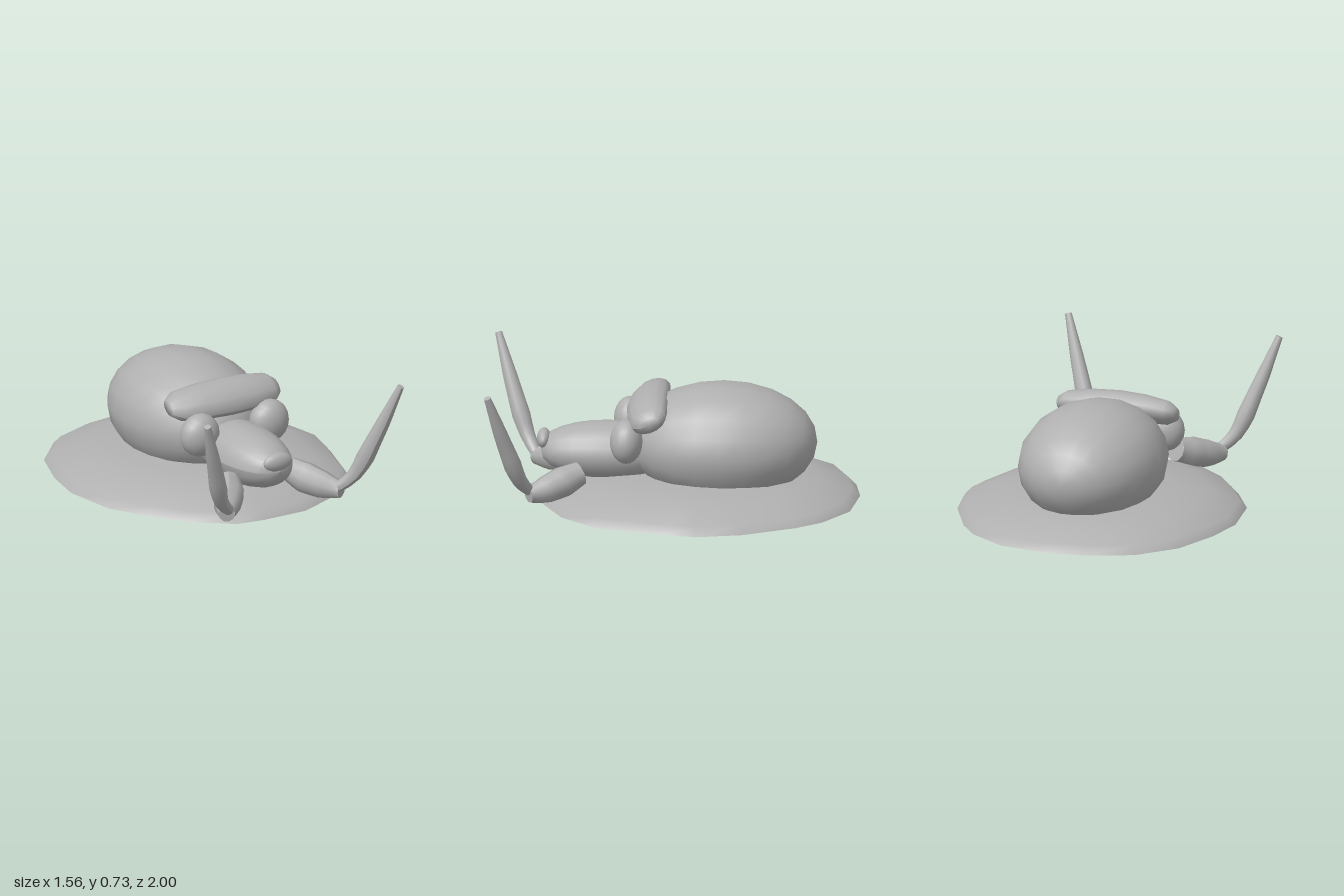
import * as THREE from 'three';

const shell = new THREE.MeshStandardMaterial({ color: 0xb0b0b0 });
shell.name = 'plain grey';

export function createModel() {
  const model = new THREE.Group();
  const add = (name, geometry) => {
    const mesh = new THREE.Mesh(geometry, shell);
    mesh.name = name;
    model.add(mesh);
    return mesh;
  };

  // Ellipsoid; power below 1 makes it boxier along z
  const ellipsoid = (name, [x, y, z], [rx, ry, rz], power = 1) => {
    const g = new THREE.SphereGeometry(1, 18, 12).rotateX(Math.PI / 2);
    const p = g.attributes.position;
    for (let i = 0; i < p.count; i++) {
      const r = Math.hypot(p.getX(i), p.getY(i));
      const k = r > 1e-5 ? Math.pow(r, power) / r : 0;
      p.setXYZ(i, p.getX(i) * k * rx, p.getY(i) * k * ry, p.getZ(i) * rz);
    }
    const n = g.attributes.normal;
    if (power === 1) {
      for (let i = 0; i < n.count; i++) {
        const v = new THREE.Vector3(p.getX(i) / rx ** 2, p.getY(i) / ry ** 2, p.getZ(i) / rz ** 2).normalize();
        n.setXYZ(i, v.x, v.y, v.z);
      }
    } else g.computeVertexNormals();
    return add(name, g.translate(x, y, z));
  };

  // Tapering tube along points [x, y, z, radius], closed at both ends
  const taper = (name, points, steps = 9, sides = 10) => {
    const curve = new THREE.CatmullRomCurve3(points.map(q => new THREE.Vector3(q[0], q[1], q[2])));
    const g = new THREE.TubeGeometry(curve, steps, 1, sides);
    const p = g.attributes.position;
    const v = new THREE.Vector3();
    for (let i = 0; i <= steps; i++) {
      const t = i / steps;
      const c = curve.getPointAt(t);
      const f = t * (points.length - 1);
      const a = Math.min(Math.floor(f), points.length - 2);
      const r = THREE.MathUtils.lerp(points[a][3], points[a + 1][3], f - a);
      for (let j = 0; j <= sides; j++) {
        const k = i * (sides + 1) + j;
        v.fromBufferAttribute(p, k).sub(c).multiplyScalar(r).add(c);
        p.setXYZ(k, v.x, v.y, v.z);
      }
    }
    g.computeVertexNormals();
    add(name, g);
    // end caps
    for (const [end, sign] of [[0, -1], [1, 1]]) {
      const c = curve.getPointAt(end);
      const cap = new THREE.CircleGeometry(points[end ? points.length - 1 : 0][3], sides);
      const dir = curve.getTangentAt(end).multiplyScalar(sign);
      cap.applyQuaternion(new THREE.Quaternion().setFromUnitVectors(new THREE.Vector3(0, 0, 1), dir));
      add(name + 'Cap', cap.translate(c.x, c.y, c.z));
    }
  };

  // Low mound: outline shrunk ring by ring towards the centre
  const outline = [
    [-0.02, -1], [0.27, -0.96], [0.48, -0.82], [0.59, -0.68], [0.73, -0.4], [0.78, -0.15], [0.75, 0],
    [0.635, 0.4], [0.455, 0.59], [0.16, 0.725], [-0.1, 0.73], [-0.26, 0.71], [-0.47, 0.54], [-0.6, 0.37],
    [-0.73, 0.15], [-0.78, -0.16], [-0.74, -0.4], [-0.645, -0.67], [-0.465, -0.87], [-0.22, -0.97],
  ];
  const cz = -0.14;
  const rings = [[1, 0.015], [0.95, 0.06], [0.75, 0.12], [0.5, 0.15], [0, 0.165]];
  const verts = [], index = [], count = outline.length;
  rings.forEach(([s, y], i) => outline.forEach(([x, z], j) => {
    verts.push(x * s, y, cz + (z - cz) * s);
    if (i === rings.length - 1) return;
    const a = i * count + j, b = i * count + (j + 1) % count;
    index.push(a, a + count, b);
    if (i < rings.length - 2) index.push(b, a + count, b + count);
  }));
  const mound = new THREE.BufferGeometry();
  mound.setAttribute('position', new THREE.Float32BufferAttribute(verts, 3));
  mound.setIndex(index);
  mound.computeVertexNormals();
  add('moundTop', mound);
  const floor = new THREE.ShapeGeometry(new THREE.Shape(outline.map(([x, z]) => new THREE.Vector2(x, z))));
  add('moundUnderside', floor.rotateX(Math.PI / 2).translate(0, 0.015, 0));

  // Body and head
  ellipsoid('abdomen', [0, 0.322, -0.26], [0.392, 0.322, 0.51]);
  ellipsoid('head', [0, 0.265, 0.36], [0.193, 0.155, 0.36], 0.8);
  ellipsoid('snout', [0, 0.322, 0.705], [0.088, 0.052, 0.037]);

  // Brow bar: blunt spindle across the head, ends swept back
  const profile = [[0, -0.335], [0.45, -0.335], [0.8, -0.285], [0.95, -0.15], [1, 0], [0.95, 0.15], [0.8, 0.285], [0.45, 0.335], [0, 0.335]];
  const brow = new THREE.LatheGeometry(profile.map(q => new THREE.Vector2(...q)), 14);
  brow.rotateZ(Math.PI / 2).scale(1, 0.08, 0.122).rotateX(0.45);
  const bp = brow.attributes.position;
  for (let i = 0; i < bp.count; i++) {
    const d = bp.getX(i) ** 2;
    bp.setXYZ(i, bp.getX(i), bp.getY(i) + 0.517 - 0.1 * d, bp.getZ(i) + 0.143 - 0.2 * d);
  }
  brow.computeVertexNormals();
  add('browBar', brow);

  // Paired eyes, jaws and tusks
  for (const [side, s] of [['left', 1], ['right', -1]]) {
    ellipsoid(side + 'Eye', [s * 0.217, 0.373, 0.25], [0.114, 0.121, 0.088]);
    taper(side + 'Jaw', [
      [s * 0.19, 0.185, 0.5, 0.065], [s * 0.24, 0.15, 0.59, 0.085],
      [s * 0.31, 0.12, 0.69, 0.075], [s * 0.36, 0.11, 0.77, 0.045],
    ]);
    taper(side + 'Tusk', [
      [s * 0.345, 0.13, 0.765, 0.03], [s * 0.415, 0.2, 0.81, 0.05],
      [s * 0.505, 0.43, 0.89, 0.038], [s * 0.607, 0.727, 0.98, 0.019],
    ], 12);
  }
  return model;
}
